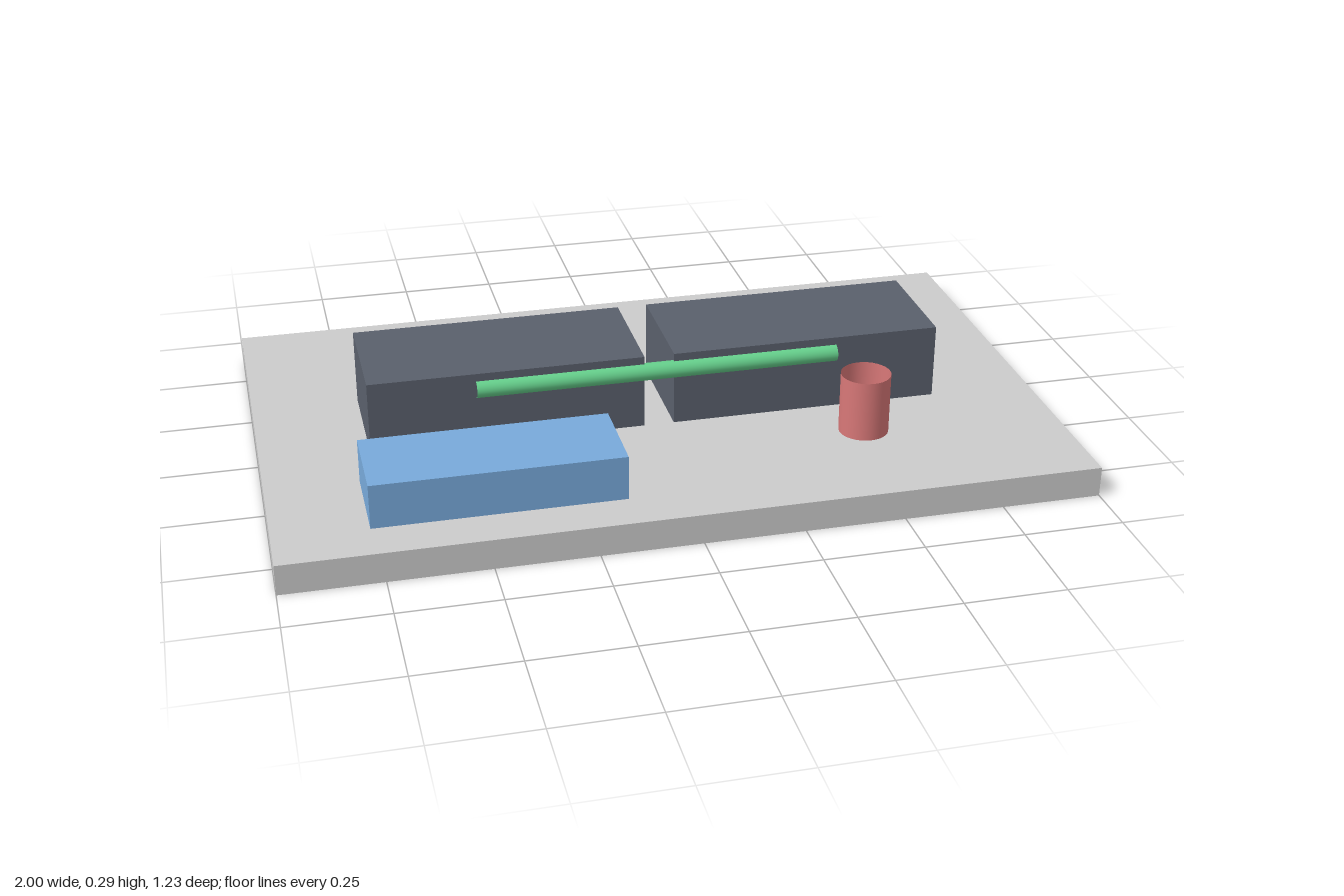
import * as THREE from 'three';

const material = (color, side = THREE.FrontSide) => new THREE.MeshStandardMaterial({ color, side });

// Box given by its [min, max] range on each axis
function block(name, color, [x0, x1], [y0, y1], [z0, z1]) {
  const mesh = new THREE.Mesh(new THREE.BoxGeometry(x1 - x0, y1 - y0, z1 - z0), material(color));
  mesh.position.set((x0 + x1) / 2, (y0 + y1) / 2, (z0 + z1) / 2);
  mesh.name = name;
  return mesh;
}

// Thin open-ended tube, upright by default
function openTube(name, color, radius, length, x, y, z) {
  const geometry = new THREE.CylinderGeometry(radius, radius, length, 32, 1, true);
  const mesh = new THREE.Mesh(geometry, material(color, THREE.DoubleSide));
  mesh.position.set(x, y, z);
  mesh.name = name;
  return mesh;
}

export function createModel() {
  const group = new THREE.Group();
  group.name = 'model';

  // Base plate
  group.add(block('basePlate', 0xcccccc, [-1, 1], [0, 0.077], [-0.615, 0.615]));

  // Pair of dark blocks, mirrored about the centre gap
  for (const [name, s] of [['leftBlock', 1], ['rightBlock', -1]]) {
    const xs = s > 0 ? [0.038, 0.73] : [-0.73, -0.038];
    group.add(block(name, 0x5a606c, xs, [0.083, 0.275], [-0.154, 0.154]));
  }

  // Low block at the front
  group.add(block('frontBlock', 0x78aadb, [-0.77, -0.157], [0.077, 0.19], [0.27, 0.5]));

  // Horizontal rod along the front of the dark blocks
  const rod = openTube('rod', 0x66d08c, 0.022, 0.925, 0, 0.233, 0.152);
  rod.rotation.z = Math.PI / 2;
  group.add(rod);

  // Upright sleeve raised above the plate
  group.add(openTube('sleeve', 0xd87878, 0.0615, 0.154, 0.462, 0.209, 0.387));

  return group;
}
